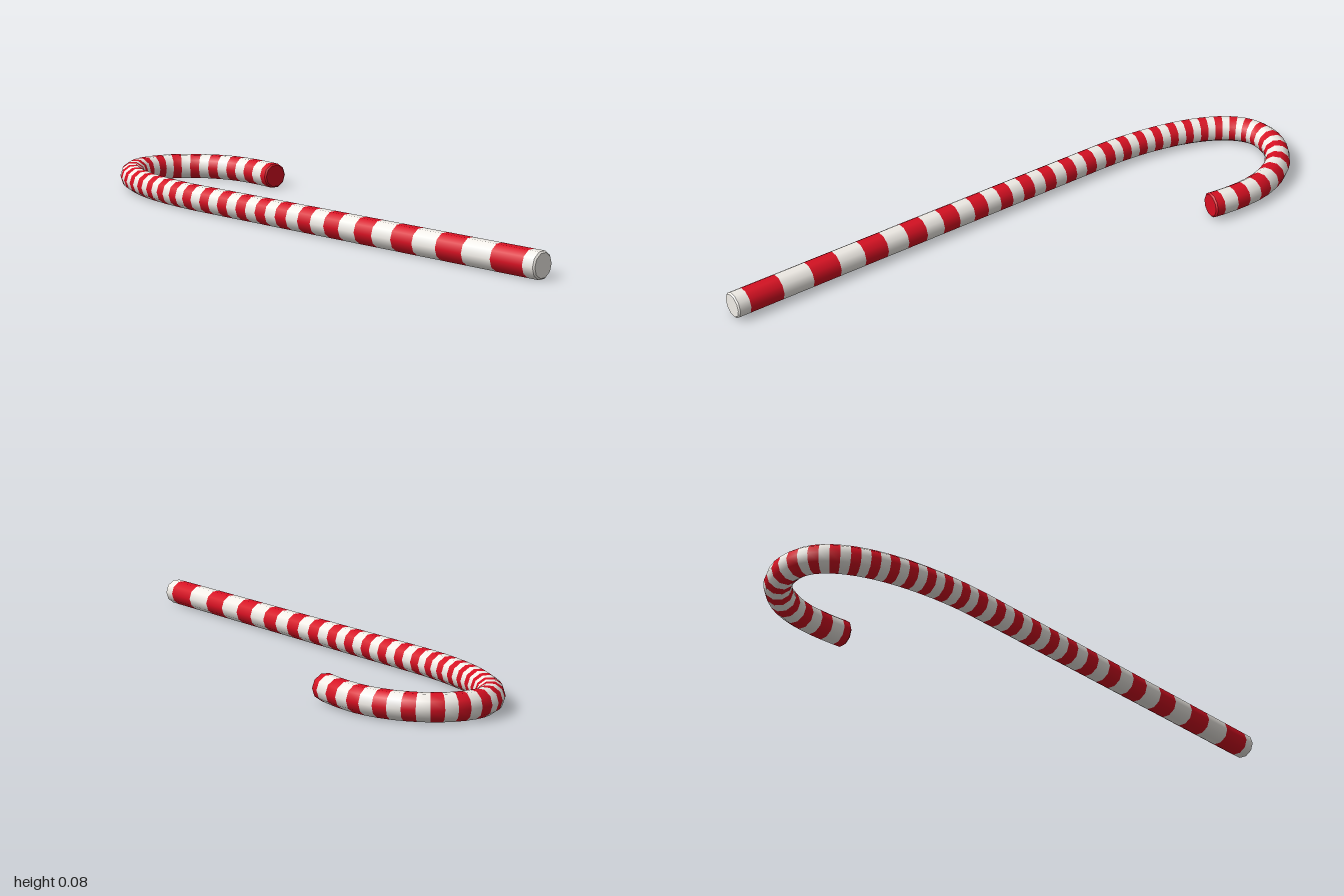
import * as THREE from 'three';

const SIDES = 10, RADIUS = 0.043, HEIGHT = 0.041, BEVEL = 0.005;
const UP = new THREE.Vector3(0, 1, 0);
const at = (x, z) => new THREE.Vector3(x, HEIGHT, z);

// Centre line: straight shaft, then the hook
function makePath() {
  const path = new THREE.CurvePath();
  const bend = (...p) => path.add(new THREE.CubicBezierCurve3(...p.map(([x, z]) => at(x, z))));
  path.add(new THREE.LineCurve3(at(1, 0.232), at(-0.4, 0.232)));
  bend([-0.4, 0.232], [-0.72, 0.232], [-0.957, 0.14], [-0.957, 0]);
  bend([-0.957, 0], [-0.957, -0.13], [-0.83, -0.232], [-0.67, -0.232]);
  bend([-0.67, -0.232], [-0.62, -0.232], [-0.575, -0.228], [-0.532, -0.22]);
  return path;
}

// Distances of the stripe edges along the path
function stripeEdges(path) {
  const lengths = path.getCurveLengths();
  // [end distance, number of stripes, last width / first width]
  const sections = [
    [0.043, 1, 1], [0.695, 7, 0.61], [1.08, 7, 0.68], [1.465, 9, 0.9],
    [lengths[1] - 0.025, 19, 0.72], [lengths[3] - 0.032, 14, 1.65], [lengths[3], 1, 1],
  ];
  const edges = [0];
  for (const [end, count, ratio] of sections) {
    const start = edges[edges.length - 1];
    const widths = Array.from({ length: count }, (_, i) => Math.pow(ratio, i / Math.max(1, count - 1)));
    const total = widths.reduce((a, b) => a + b, 0);
    let sum = 0;
    for (const w of widths) edges.push(start + (end - start) * (sum += w) / total);
  }
  return edges;
}

// Collects bands and caps of one colour into a single geometry
class Skin {
  constructor(path) {
    this.path = path;
    this.length = path.getLength();
    this.pos = [];
    this.nor = [];
    this.idx = [];
  }
  frame(s) {
    const u = THREE.MathUtils.clamp(s / this.length, 0, 1);
    const a = this.path.getPoint(Math.max(0, u - 0.001));
    const b = this.path.getPoint(Math.min(1, u + 0.001));
    const tangent = b.sub(a).normalize();
    return { centre: this.path.getPoint(u), tangent, side: UP.clone().cross(tangent) };
  }
  // Ring of points; tilt leans the normals along the path
  ring(s, radius, tilt = 0, flat = false) {
    const first = this.pos.length / 3;
    const { centre, tangent, side } = this.frame(s);
    for (let j = 0; j < SIDES; j++) {
      const a = j / SIDES * Math.PI * 2;
      const out = side.clone().multiplyScalar(Math.cos(a)).addScaledVector(UP, Math.sin(a));
      const p = centre.clone().addScaledVector(out, radius);
      const n = (flat ? new THREE.Vector3() : out).addScaledVector(tangent, tilt).normalize();
      this.pos.push(p.x, p.y, p.z);
      this.nor.push(n.x, n.y, n.z);
    }
    return first;
  }
  band(s0, s1, r0 = RADIUS, r1 = RADIUS, tilt = 0) {
    const a = this.ring(s0, r0, tilt), b = this.ring(s1, r1, tilt);
    for (let j = 0; j < SIDES; j++) {
      const k = (j + 1) % SIDES;
      this.idx.push(a + j, a + k, b + k, a + j, b + k, b + j);
    }
  }
  cap(s, direction) {
    const a = this.ring(s, RADIUS - BEVEL, direction, true);
    for (let j = 1; j < SIDES - 1; j++) {
      if (direction > 0) this.idx.push(a, a + j, a + j + 1);
      else this.idx.push(a, a + j + 1, a + j);
    }
  }
  mesh(name, color) {
    const geo = new THREE.BufferGeometry();
    geo.setAttribute('position', new THREE.Float32BufferAttribute(this.pos, 3));
    geo.setAttribute('normal', new THREE.Float32BufferAttribute(this.nor, 3));
    geo.setIndex(this.idx);
    const mesh = new THREE.Mesh(geo, new THREE.MeshStandardMaterial({ color }));
    mesh.name = name;
    return mesh;
  }
}

export function createModel() {
  const group = new THREE.Group();
  group.name = 'candyCane';
  const path = makePath();
  const edges = stripeEdges(path);
  const white = new Skin(path), red = new Skin(path);
  const last = edges.length - 2;

  // Alternating stripes, with a small bevel and a flat cap at both ends
  for (let i = 0; i <= last; i++) {
    const skin = i % 2 ? red : white;
    let s0 = edges[i], s1 = edges[i + 1];
    if (i === 0) {
      skin.cap(s0, -1);
      skin.band(s0, s0 + BEVEL, RADIUS - BEVEL, RADIUS, -1);
      s0 += BEVEL;
    }
    if (i === last) {
      skin.cap(s1, 1);
      skin.band(s1 - BEVEL, s1, RADIUS, RADIUS - BEVEL, 1);
      s1 -= BEVEL;
    }
    skin.band(s0, s1);
  }

  group.add(white.mesh('whiteStripes', 0xf2eee8), red.mesh('redStripes', 0xd81022));
  return group;
}
